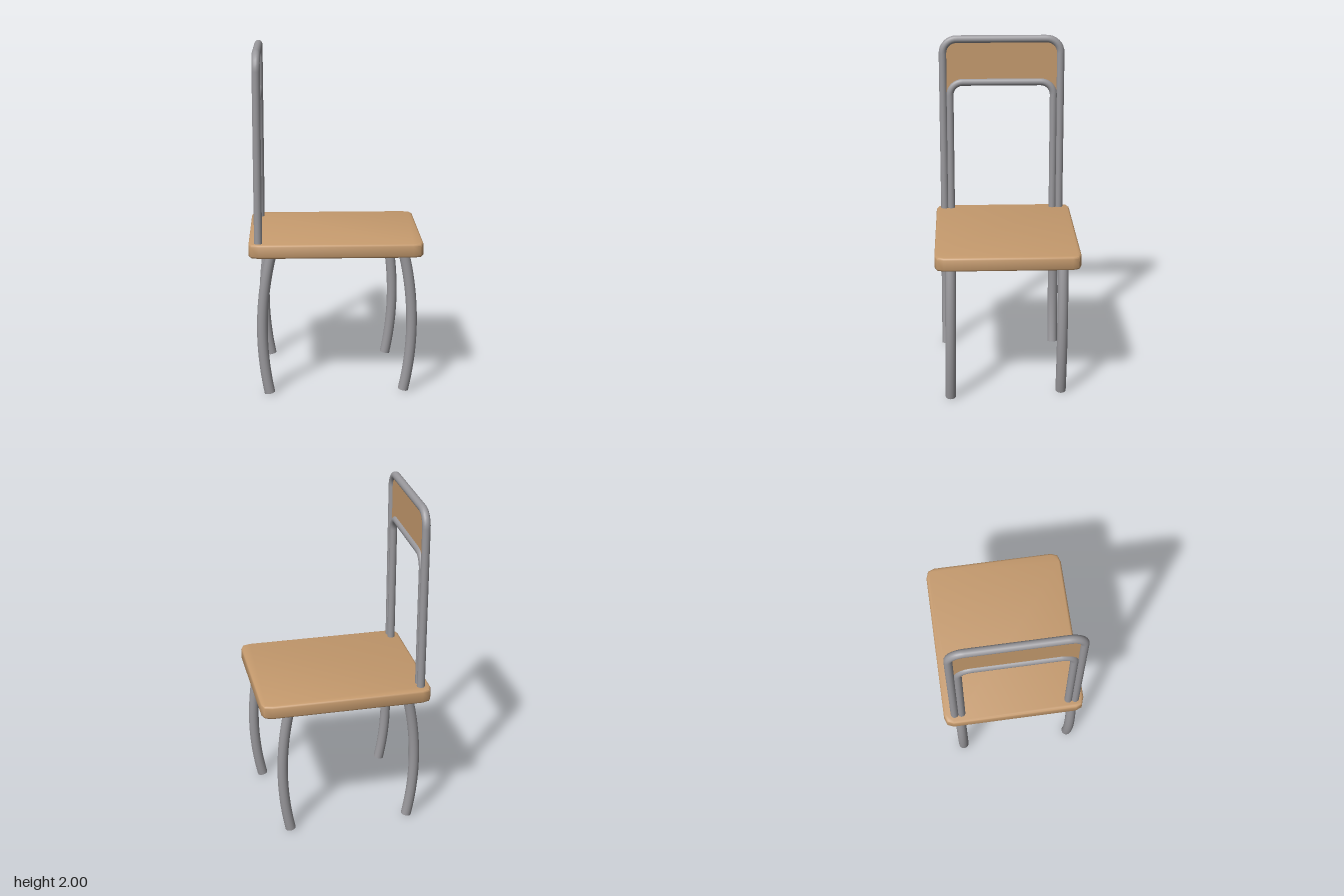
import * as THREE from 'three';
import { toCreasedNormals } from 'three/addons/utils/BufferGeometryUtils.js';

const wood = new THREE.MeshStandardMaterial({ color: 0xc69b6e });
wood.name = 'wood';
const metal = new THREE.MeshStandardMaterial({ color: 0x9a999d });
metal.name = 'greyMetal';

const BACK_X = -0.444;
const V = (x, y, z) => new THREE.Vector3(x, y, z);

function addMesh(group, name, geometry, material) {
  const mesh = new THREE.Mesh(geometry, material);
  mesh.name = name;
  group.add(mesh);
  return mesh;
}

// Upside-down U with rounded corners, standing in the seat
function hoopPath(zLeft, zRight, top, radius) {
  const path = new THREE.CurvePath();
  const bend = (a, corner, b) => {
    const k = 0.55;
    path.add(new THREE.CubicBezierCurve3(a, a.clone().lerp(corner, k), b.clone().lerp(corner, k), b));
  };
  const a = V(BACK_X, top - radius, zLeft), b = V(BACK_X, top, zLeft - radius);
  const c = V(BACK_X, top, zRight + radius), d = V(BACK_X, top - radius, zRight);
  path.add(new THREE.LineCurve3(V(BACK_X, 0.87, zLeft), a));
  bend(a, V(BACK_X, top, zLeft), b);
  path.add(new THREE.LineCurve3(b, c));
  bend(c, V(BACK_X, top, zRight), d);
  path.add(new THREE.LineCurve3(d, V(BACK_X, 0.87, zRight)));
  return path;
}

// Bowed leg through three points, with a flat cap on the foot
function makeLeg(name, top, middle, foot) {
  const leg = new THREE.Group();
  leg.name = name;
  const control = middle.clone().multiplyScalar(2).sub(top.clone().add(foot).multiplyScalar(0.5));
  const curve = new THREE.QuadraticBezierCurve3(top, control, foot);
  addMesh(leg, name + 'Tube', new THREE.TubeGeometry(curve, 20, 0.031, 16), metal);
  const cap = addMesh(leg, name + 'Cap', new THREE.CircleGeometry(0.031, 16), metal);
  cap.position.copy(foot);
  cap.quaternion.setFromUnitVectors(V(0, 0, 1), curve.getTangent(1));
  return leg;
}

export function createModel() {
  const chair = new THREE.Group();
  chair.name = 'chair';

  // Seat slab with clipped corners and softened edges
  const corner = [[0.5, 0.365], [0.485, 0.402], [0.44, 0.417]];
  const outline = [];
  for (const [sx, sz] of [[1, 1], [-1, 1], [-1, -1], [1, -1]]) {
    const points = corner.map(([x, z]) => new THREE.Vector2(sx * x, sz * z));
    outline.push(...(sx * sz > 0 ? points : points.reverse()));
  }
  const bevel = 0.012;
  const seat = new THREE.ExtrudeGeometry(new THREE.Shape(outline), {
    depth: 0.08 - 2 * bevel, bevelThickness: bevel, bevelSize: bevel, bevelOffset: -bevel, bevelSegments: 2,
  });
  seat.rotateX(Math.PI / 2).translate(0, 0.91 - bevel, 0);
  addMesh(chair, 'seat', toCreasedNormals(seat, 0.9), wood);

  // Back: outer and inner hoops
  const outer = hoopPath(0.366, -0.352, 1.977, 0.085);
  const inner = hoopPath(0.325, -0.311, 1.712, 0.08);
  addMesh(chair, 'outerBackFrame', new THREE.TubeGeometry(outer, 160, 0.0235, 14), metal);
  addMesh(chair, 'innerBackFrame', new THREE.TubeGeometry(inner, 160, 0.0225, 14), metal);

  // Thin back panel filling the gap between the hoops
  const upper = outer.getPoints(12).filter((p) => p.y > 1.7);
  const lower = inner.getPoints(12).filter((p) => p.y > 1.6).reverse();
  const rim = [V(0, 1.65, 0.36), ...upper, V(0, 1.65, -0.346), ...lower];
  const panel = new THREE.ExtrudeGeometry(
    new THREE.Shape(rim.map((p) => new THREE.Vector2(p.z, p.y))), { depth: 0.01, bevelEnabled: false });
  panel.rotateY(-Math.PI / 2).translate(BACK_X + 0.005, 0, 0);
  addMesh(chair, 'backPanel', panel, wood);

  // Four legs, bowed outwards
  const legs = [
    ['frontLeftLeg', 0.388, 0.44, 0.394, 0.326, 0.336],
    ['frontRightLeg', 0.325, 0.375, 0.333, -0.322, -0.317],
    ['backLeftLeg', -0.37, -0.426, -0.387, 0.36, 0.364],
    ['backRightLeg', -0.37, -0.426, -0.387, -0.322, -0.317],
  ];
  for (const [name, xTop, xMid, xFoot, zTop, zFoot] of legs) {
    chair.add(makeLeg(name, V(xTop, 0.85, zTop), V(xMid, 0.43, (zTop + zFoot) / 2), V(xFoot, 0.011, zFoot)));
  }
  return chair;
}
